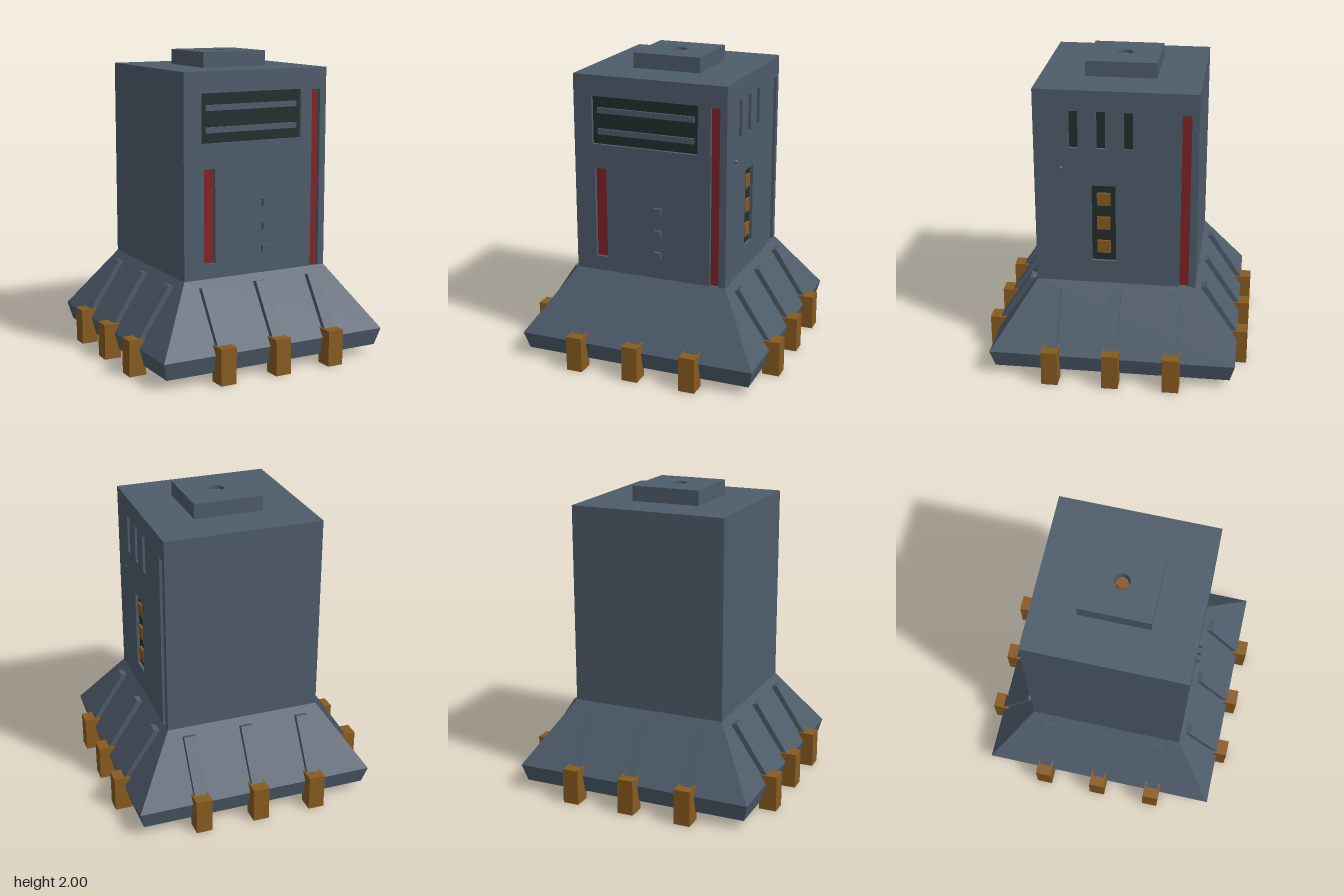
import * as THREE from 'three';

const mat = (name, color) => Object.assign(new THREE.MeshStandardMaterial({ color }), { name });

export function createModel() {
  const hull = mat('blue grey hull', 0x4e5c6b);
  const dark = mat('dark recess', 0x212e2d);
  const red = mat('red light', 0x7e2328);
  const amber = mat('amber metal', 0x885b20);

  const model = new THREE.Group();
  model.name = 'bunkerTower';
  const W = 0.52, DEPTH = 0.03, FLOOR = W - DEPTH, TOP = 1.9, BOTTOM = 0.57;

  const add = (parent, name, geometry, material, x = 0, y = 0, z = 0) => {
    const mesh = new THREE.Mesh(geometry, material);
    mesh.name = name;
    mesh.position.set(x, y, z);
    parent.add(mesh);
    return mesh;
  };
  const box = (parent, name, material, w, h, d, x, y, z) =>
    add(parent, name, new THREE.BoxGeometry(w, h, d), material, x, y, z);

  // rectangle outline from [left, right, bottom, top]
  const outline = (target, [l, r, b, t]) =>
    target.moveTo(l, b).lineTo(r, b).lineTo(r, t).lineTo(l, t).closePath();

  // wall slab with rectangular openings, each backed by a thin coloured plate
  const wall = (parent, name, extent, openings) => {
    const shape = outline(new THREE.Shape(), extent);
    for (const o of openings) {
      shape.holes.push(outline(new THREE.Path(), o.rect));
      const [l, r, b, t] = o.rect;
      box(parent, o.name, o.material, r - l, t - b, 0.008, (l + r) / 2, (b + t) / 2, FLOOR + 0.004);
    }
    add(parent, name, new THREE.ExtrudeGeometry(shape, { depth: DEPTH, bevelEnabled: false }), hull, 0, 0, FLOOR);
  };

  // tower core, inset behind the front and left-hand (+x) walls
  box(model, 'towerCore', hull, 2 * W - DEPTH, TOP - BOTTOM, 2 * W - DEPTH,
    -DEPTH / 2, (TOP + BOTTOM) / 2, -DEPTH / 2);

  // front wall: grille, two red strips, three buttons
  const front = new THREE.Group();
  front.name = 'frontWall';
  model.add(front);
  wall(front, 'frontPanel', [-W, W, BOTTOM, TOP], [
    { name: 'grilleRecess', material: dark, rect: [-0.395, 0.328, 1.45, 1.765] },
    { name: 'shortRedStrip', material: red, rect: [-0.38, -0.3, 0.685, 1.29] },
    { name: 'longRedStrip', material: red, rect: [0.413, 0.474, 0.587, 1.76] },
  ]);
  for (const y of [1.533, 1.672]) box(front, 'grilleBar', hull, 0.66, 0.036, 0.018, -0.03, y, FLOOR + 0.014);
  for (const y of [0.75, 0.9, 1.05]) box(front, 'button', hull, 0.045, 0.045, 0.05, 0.06, y, W);

  // +x wall: vents, lamp panel, red strip (local x points to the back)
  const side = new THREE.Group();
  side.name = 'sideWall';
  side.rotation.y = Math.PI / 2;
  model.add(side);
  const vents = [-0.267, -0.093, 0.08].map((u) => (
    { name: 'vent', material: dark, rect: [u - 0.029, u + 0.029, 1.52, 1.765] }));
  wall(side, 'sidePanel', [-FLOOR, W, BOTTOM, TOP], [
    ...vents,
    { name: 'lampRecess', material: dark, rect: [-0.157, 0, 0.745, 1.272] },
    { name: 'longRedStrip', material: red, rect: [0.413, 0.474, 0.587, 1.76] },
  ]);
  for (const y of [0.842, 1.008, 1.175]) box(side, 'lamp', amber, 0.086, 0.086, 0.018, -0.079, y, FLOOR + 0.014);
  add(side, 'sideStud', new THREE.OctahedronGeometry(0.014), hull, -0.35, 1.385, W);

  // flared square base
  const profile = [[0, 0.06], [0.77, 0.06], [0.8, 0.175], [W, 0.588], [0, 0.588]]
    .map(([h, y]) => new THREE.Vector2(h * Math.SQRT2, y));
  const flare = new THREE.LatheGeometry(profile, 4, Math.PI / 4).toNonIndexed();
  flare.computeVertexNormals();
  add(model, 'flaredBase', flare, hull);

  // ribs and feet, three on every side
  const ribShape = new THREE.Shape();
  ribShape.moveTo(0.52, 0.52).lineTo(0.76, 0.17).lineTo(0.8, 0.175).lineTo(0.8, 0.232)
    .lineTo(0.588, 0.553).lineTo(0.54, 0.54).closePath();
  const ribGeometry = new THREE.ExtrudeGeometry(ribShape, { depth: 0.08, bevelEnabled: false });
  ribGeometry.translate(0, 0, -0.04);
  for (let i = 0; i < 4; i++) {
    const flank = new THREE.Group();
    flank.name = 'baseFlank';
    flank.rotation.y = i * Math.PI / 2;
    model.add(flank);
    for (const offset of [-0.393, 0, 0.393]) {
      add(flank, 'rib', ribGeometry, hull, 0, 0, offset);
      box(flank, 'foot', amber, 0.114, 0.235, 0.107, 0.813, 0.1175, offset);
    }
  }

  // roof hatch with a sunken round lamp
  const hatch = outline(new THREE.Shape(), [-0.23, 0.23, -0.23, 0.23]);
  hatch.holes.push(new THREE.Path().absarc(0, 0, 0.05, 0, Math.PI * 2, true));
  const hatchGeometry = new THREE.ExtrudeGeometry(hatch, { depth: 0.1, bevelEnabled: false, curveSegments: 16 });
  hatchGeometry.rotateX(-Math.PI / 2);
  add(model, 'roofHatch', hatchGeometry, hull, 0, TOP, 0);
  add(model, 'roofLamp', new THREE.CylinderGeometry(0.038, 0.038, 0.08, 16), amber, 0, TOP + 0.04, 0);
  add(model, 'roofStud', new THREE.OctahedronGeometry(0.014), hull, 0.155, 1.986, 0.125);

  return model;
}
